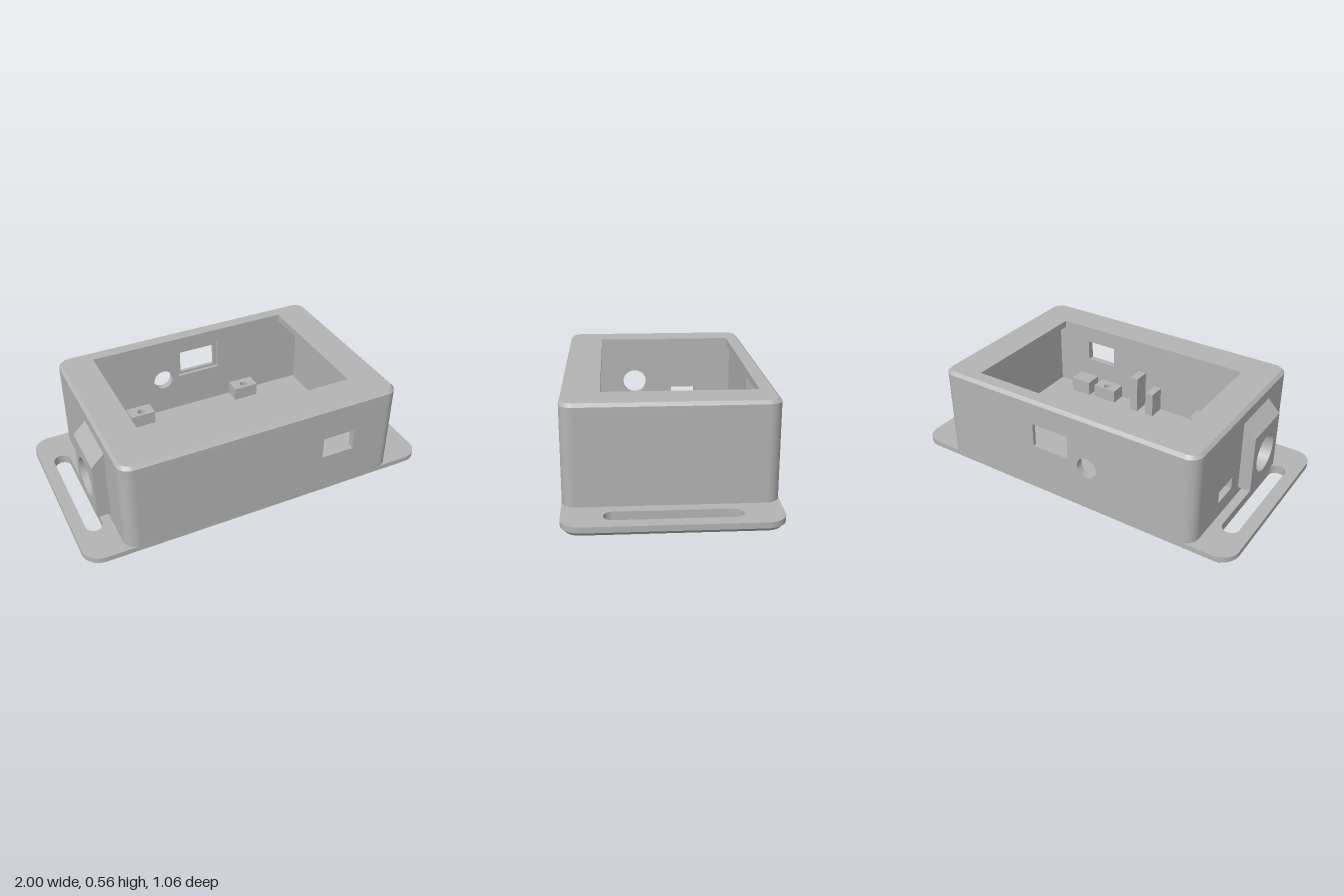
import * as THREE from 'three';
import { toCreasedNormals } from 'three/addons/utils/BufferGeometryUtils.js';

const X = 0.785, Z = 0.53, CX = -0.005;   // body half sizes and x centre
const R = 0.07, T = 0.04;                 // body corner radius, wall thickness
const FLOOR = 0.05, LIP = 0.525, RIM = 0.548, TOP = 0.565;

export function createModel() {
  const model = new THREE.Group();
  const grey = new THREE.MeshStandardMaterial({ color: 0xb4b4b4 });
  grey.name = 'grey plastic';

  const add = (name, geometry, parent = model) => {
    const mesh = new THREE.Mesh(toCreasedNormals(geometry, 0.6), grey);
    mesh.name = name;
    parent.add(mesh);
    return mesh;
  };

  // Outline helpers
  const rect = (x0, y0, x1, y1, Type = THREE.Shape) => new Type([
    [x0, y0], [x1, y0], [x1, y1], [x0, y1]].map(([x, y]) => new THREE.Vector2(x, y)));
  const roundRect = (a, b, r, cx = 0, cy = 0, Type = THREE.Shape) => {
    const s = new Type();
    s.absarc(cx + a - r, cy + b - r, r, 0, Math.PI / 2);
    s.absarc(cx - a + r, cy + b - r, r, Math.PI / 2, Math.PI);
    s.absarc(cx - a + r, cy - b + r, r, Math.PI, Math.PI * 1.5);
    s.absarc(cx + a - r, cy - b + r, r, Math.PI * 1.5, Math.PI * 2);
    s.closePath();
    return s;
  };
  const circle = (x, y, r) => new THREE.Path().absarc(x, y, r, 0, Math.PI * 2);
  const extrude = (shape, holes, depth) => {
    shape.holes.push(...holes);
    return new THREE.ExtrudeGeometry(shape, { depth, bevelEnabled: false, curveSegments: 12 });
  };
  // Slab lying flat: shape is (x, z), filling y0 to y1
  const slab = (shape, holes, y0, y1) =>
    extrude(shape, holes, y1 - y0).rotateX(Math.PI / 2).translate(0, y1, 0);
  const bend = (geometry, rule) => {
    const p = geometry.attributes.position, v = new THREE.Vector3();
    for (let i = 0; i < p.count; i++) {
      rule(v.fromBufferAttribute(p, i));
      p.setXYZ(i, v.x, v.y, v.z);
    }
    geometry.computeVertexNormals();
    return geometry;
  };
  // Pull an outline point inward for a chamfer
  const inset = (v, a, b, r, d) => {
    const qx = THREE.MathUtils.clamp(v.x, r - a, a - r);
    const qz = THREE.MathUtils.clamp(v.z, r - b, b - r);
    v.x = qx + (v.x - qx) * (r - d) / r;
    v.z = qz + (v.z - qz) * (r - d) / r;
  };

  // Base flange with strap slots and countersunk screw holes
  const screws = [];
  for (const x of [-0.345, 0.345]) for (const z of [-0.435, 0.435]) screws.push([x, z]);
  const baseHoles = (r) => [
    ...[-0.885, 0.885].map((x) => roundRect(0.046, 0.333, 0.0459, x, -0.003, THREE.Path)),
    ...screws.map(([x, z]) => circle(x, z, r))];
  add('baseFlange', slab(roundRect(1, Z, 0.1), baseHoles(0.022), 0.02, FLOOR));
  add('baseChamfer', bend(slab(roundRect(1, Z, 0.1), baseHoles(0.046), 0, 0.02), (v) => {
    if (v.y < 0.01) {
      if (Math.abs(v.x) > 0.94 || Math.abs(v.z) > 0.49) inset(v, 1, Z, 0.1, 0.02);
      return;
    }
    for (const [x, z] of screws) {
      const d = Math.hypot(v.x - x, v.z - z);
      if (d < 0.05) {
        v.x = x + (v.x - x) * 0.022 / d;
        v.z = z + (v.z - z) * 0.022 / d;
        break;
      }
    }
  }));

  // Front and back walls
  const x0 = CX - X + R, x1 = CX + X - R;
  const longWall = (holes, depth, z) =>
    extrude(rect(x0, FLOOR, x1, LIP), holes, depth).translate(0, 0, z);
  add('frontWall', longWall([rect(0.33, 0.25, 0.52, 0.375, THREE.Path)], T, Z - T));
  const button = () => circle(-0.17, 0.275, 0.06);
  add('backWallOuter', longWall(
    [rect(-0.05, 0.29, 0.17, 0.425, THREE.Path), button()], T / 2, -Z));
  add('backWallInner', longWall(
    [rect(-0.07, 0.275, 0.19, 0.455, THREE.Path), button()], T / 2, -Z + T / 2));

  // Side walls
  const sideWall = (holes, x) => extrude(rect(R - Z, FLOOR, Z - R, LIP), holes, T)
    .rotateY(-Math.PI / 2).translate(x, 0, 0);
  add('leftWall', sideWall([], CX + X));
  add('rightWall', sideWall(
    [rect(-0.26, 0.14, -0.11, 0.21, THREE.Path), circle(0.13, 0.25, 0.075)], CX - X + T));

  // Rounded corner columns, square inside
  for (let i = 0; i < 4; i++) {
    const sx = i % 2 ? 1 : -1, sz = i < 2 ? 1 : -1;
    const turn = { '1,1': 0, '-1,1': 1, '-1,-1': 2, '1,-1': 3 }[`${sx},${sz}`];
    const s = new THREE.Shape();
    s.absarc(0, 0, R, 0, Math.PI / 2);
    s.lineTo(0, R - T);
    s.lineTo(R - T, R - T);
    s.lineTo(R - T, 0);
    s.closePath();
    add('cornerColumn', slab(s, [], FLOOR, LIP).rotateY(-turn * Math.PI / 2)
      .translate(CX + sx * (X - R), 0, sz * (Z - R)));
  }

  // Top frame around the screen opening, chamfered at the rim
  const opening = () => rect(-0.595, -0.445, 0.585, 0.335, THREE.Path);
  add('topFrame', slab(roundRect(X, Z, R), [opening()], LIP, RIM).translate(CX, 0, 0));
  add('topRim', bend(slab(roundRect(X, Z, R), [opening()], RIM, TOP), (v) => {
    if (v.y > TOP - 0.005 && (Math.abs(v.x) > 0.65 || Math.abs(v.z) > 0.455)) {
      inset(v, X, Z, R, 0.017);
    }
  }).translate(CX, 0, 0));

  // Socket housing with sloped top on the right side
  add('socketHousing', bend(
    extrude(rect(-0.02, 0.09, 0.28, 0.49), [circle(0.13, 0.25, 0.105)], 0.07)
      .rotateY(-Math.PI / 2).translate(CX - X, 0, 0),
    (v) => { if (v.x < -0.83 && v.y > 0.45) v.y = 0.42; }));

  // Screw bosses against the long walls
  for (const [x, z] of screws) {
    const zIn = Math.sign(z) * 0.4, zOut = Math.sign(z) * (Z - T);
    add('screwBoss', slab(
      rect(x - 0.075, Math.min(zIn, zOut), x + 0.075, Math.max(zIn, zOut)),
      [circle(x, z, 0.022)], FLOOR, 0.13));
  }

  // Small board supports under the frame: x, z, width, depth, top
  const supports = [
    [0.12, 0.44, 0.05, 0.1, 0.275], [0.01, 0.44, 0.05, 0.1, 0.2],
    [0.52, 0.44, 0.13, 0.1, 0.14],
    [-0.68, -0.46, 0.04, 0.04, 0.16], [-0.68, -0.39, 0.04, 0.04, 0.16]];
  for (const [x, z, w, d, top] of supports) {
    add('boardSupport', new THREE.BoxGeometry(w, top - FLOOR, d)
      .translate(x, (top + FLOOR) / 2, z));
  }
  return model;
}
